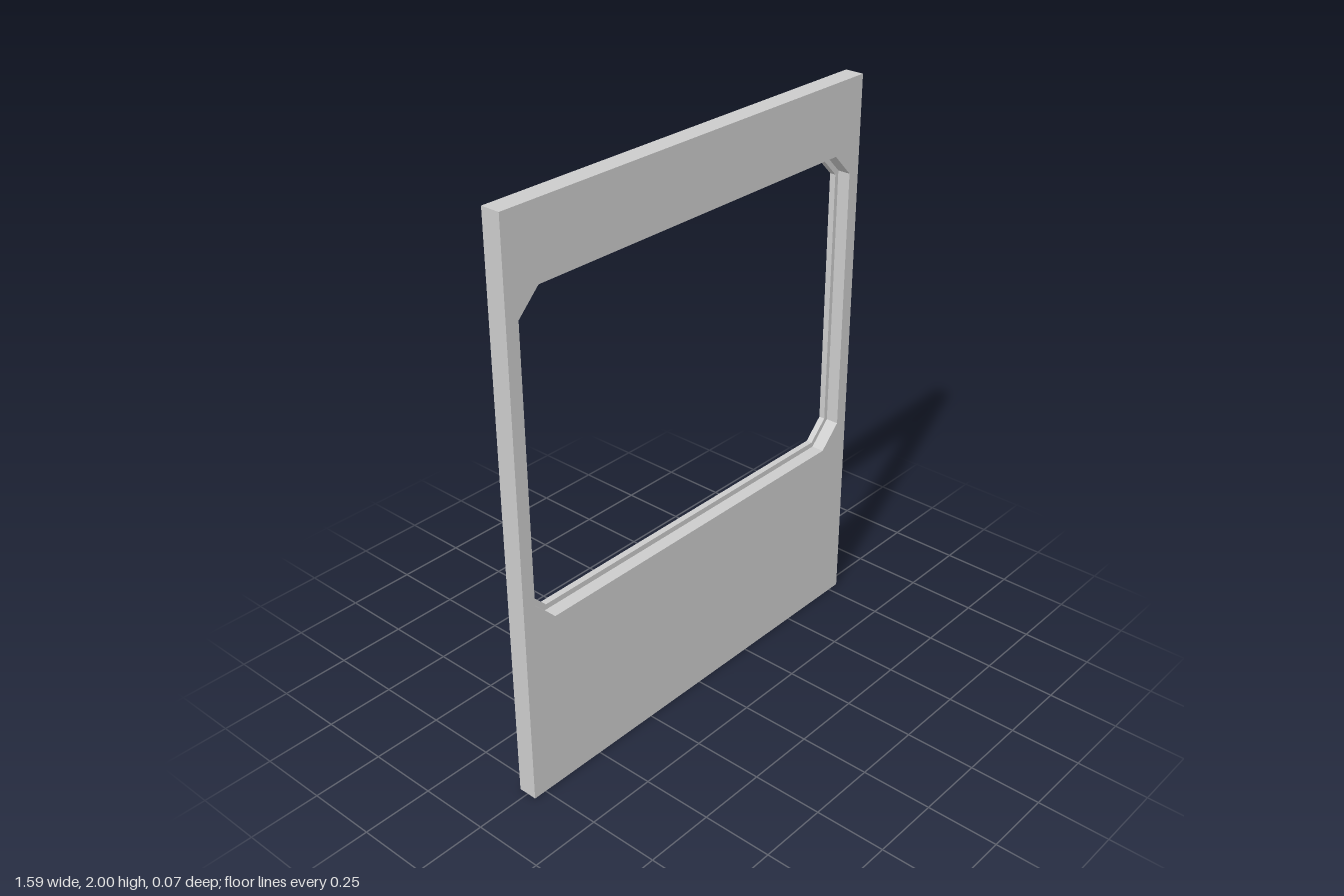
import * as THREE from 'three';
import { mergeGeometries } from 'three/addons/utils/BufferGeometryUtils.js';

const HALF_DEPTH = 0.034;
const LEDGE_Z = -0.012; // depth at which the rebate stops

// Counter-clockwise rectangle with corners cut at 45 degrees
function outline(halfW, y0, y1, cut = 0) {
  const pts = cut
    ? [[-halfW + cut, y0], [halfW - cut, y0], [halfW, y0 + cut], [halfW, y1 - cut],
       [halfW - cut, y1], [-halfW + cut, y1], [-halfW, y1 - cut], [-halfW, y0 + cut]]
    : [[-halfW, y0], [halfW, y0], [halfW, y1], [-halfW, y1]];
  return pts.map(([x, y]) => new THREE.Vector2(x, y));
}

// Flat ring between two outlines, facing front or back (outlines are symmetric in x)
function face(outer, inner, z, back = false) {
  const shape = new THREE.Shape(outer);
  shape.holes.push(new THREE.Path(inner));
  const g = new THREE.ShapeGeometry(shape).toNonIndexed();
  if (back) g.rotateY(Math.PI);
  g.translate(0, 0, z);
  g.deleteAttribute('uv');
  return g;
}

// Straight wall around an outline; inward walls line an opening
function wall(points, z0, z1, inward = false) {
  const loop = inward ? [...points].reverse() : points;
  const pos = [];
  loop.forEach((a, i) => {
    const b = loop[(i + 1) % loop.length];
    pos.push(a.x, a.y, z0, b.x, b.y, z0, b.x, b.y, z1);
    pos.push(a.x, a.y, z0, b.x, b.y, z1, a.x, a.y, z1);
  });
  const g = new THREE.BufferGeometry();
  g.setAttribute('position', new THREE.Float32BufferAttribute(pos, 3));
  g.computeVertexNormals();
  return g;
}

export function createModel() {
  const group = new THREE.Group();
  group.name = 'windowPanel';
  const material = new THREE.MeshStandardMaterial({ color: 0xcccccc, flatShading: true });
  const add = (name, ...parts) => {
    const mesh = new THREE.Mesh(mergeGeometries(parts), material);
    mesh.name = name;
    group.add(mesh);
  };

  const edge = outline(0.797, 0, 2);
  const rebate = outline(0.75, 0.646, 1.752, 0.08);
  const opening = outline(0.734, 0.665, 1.732, 0.07);

  // Panel: front, back and outer edges
  add('panel',
    face(edge, rebate, HALF_DEPTH),
    face(edge, opening, -HALF_DEPTH, true),
    wall(edge, -HALF_DEPTH, HALF_DEPTH));

  // Stepped window opening: rebate sides, ledge and narrower lip
  add('windowRebate',
    wall(rebate, LEDGE_Z, HALF_DEPTH, true),
    face(rebate, opening, LEDGE_Z));
  add('windowLip', wall(opening, -HALF_DEPTH, LEDGE_Z, true));

  return group;
}
